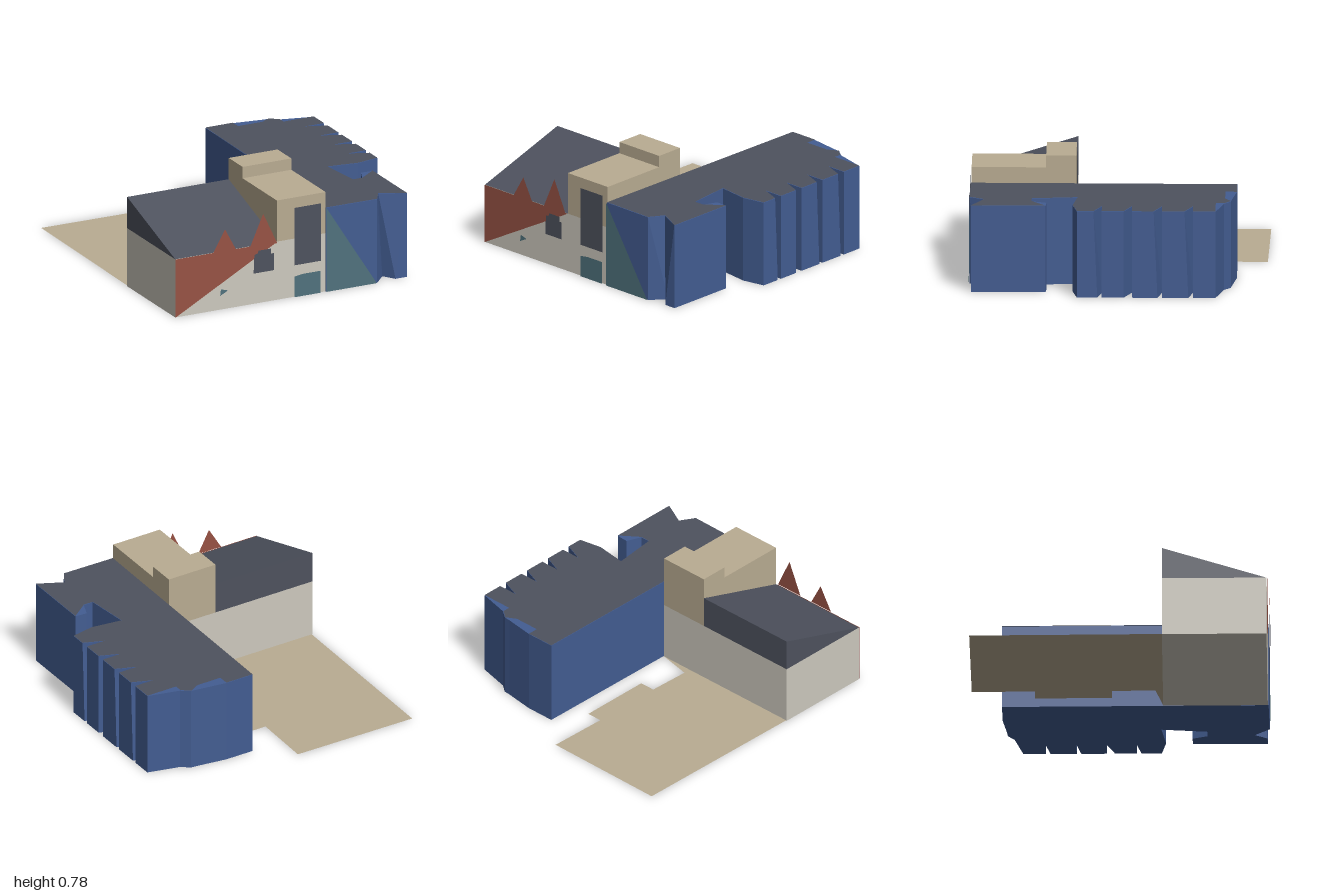
import * as THREE from 'three';

const paint = (name, color, side = THREE.FrontSide) => {
  const m = new THREE.MeshStandardMaterial({ color, side });
  m.name = name;
  return m;
};

export function createModel() {
  const model = new THREE.Group();
  model.name = 'buildingCluster';
  const D = THREE.DoubleSide;
  const tan = paint('tan', 0xb9ac92, D);
  const white = paint('offWhite', 0xcdc9be);
  const gray = paint('slateGray', 0x4e525e, D);
  const blue = paint('blue', 0x435d92, D);
  const red = paint('brickRed', 0x985244, D);
  const teal = paint('teal', 0x50727d, D);

  const add = (name, geometry, material) => {
    const mesh = new THREE.Mesh(geometry, material);
    mesh.name = name;
    model.add(mesh);
    return mesh;
  };
  const box = (name, mat, x0, x1, y0, y1, z0, z1) =>
    add(name, new THREE.BoxGeometry(x1 - x0, y1 - y0, z1 - z0), mat)
      .position.set((x0 + x1) / 2, (y0 + y1) / 2, (z0 + z1) / 2);
  const shape = (pts) => new THREE.Shape(pts.map(([x, y]) => new THREE.Vector2(x, y)));
  // Flat panel facing the front
  const panel = (name, mat, z, pts) =>
    add(name, new THREE.ShapeGeometry(shape(pts)).translate(0, 0, z), mat);
  // Flat sheet facing up, given as [x, z] points
  const sheet = (name, mat, y, pts) =>
    add(name, new THREE.ShapeGeometry(shape(pts.map(([x, z]) => [x, -z])))
      .rotateX(-Math.PI / 2).translate(0, y, 0), mat);

  // Ground terrace behind the house
  sheet('terrace', tan, 0.002, [
    [-0.92, -1], [-0.03, -0.99], [-0.04, -0.57], [0.07, -0.57], [0.07, -0.06],
    [-0.04, -0.06], [-0.05, 0.23], [0.185, 0.28], [-0.935, 0.28],
  ]);

  // House walls, shed roof and stepped tower
  box('houseWalls', white, -0.94, 0.185, 0, 0.41, 0.28, 0.975);
  const wedge = new THREE.ExtrudeGeometry(
    shape([[-0.975, 0.41], [-0.28, 0.41], [-0.28, 0.63]]), { depth: 0.76, bevelEnabled: false });
  add('houseRoof', wedge.rotateY(Math.PI / 2).translate(-0.94, 0, 0), gray);
  box('towerFront', tan, -0.18, 0.185, 0.41, 0.7, 0.48, 0.975);
  box('towerBack', tan, -0.18, 0.185, 0.41, 0.78, 0.28, 0.48);

  // Painted front and small gables
  panel('redFacade', red, 0.98, [[-0.94, 0], [-0.18, 0.41], [-0.94, 0.41]]);
  panel('gableLeft', red, 0.99, [[-0.67, 0.405], [-0.49, 0.405], [-0.575, 0.565]]);
  panel('gableRight', red, 0.99, [[-0.39, 0.405], [-0.185, 0.405], [-0.29, 0.63]]);

  // Windows and door
  panel('tallWindow', gray, 0.985, [[-0.055, 0.225], [0.145, 0.225], [0.145, 0.63], [-0.055, 0.63]]);
  panel('smallWindow', gray, 0.998, [
    [-0.366, 0.222], [-0.215, 0.222], [-0.215, 0.343], [-0.235, 0.343],
    [-0.235, 0.378], [-0.33, 0.378], [-0.336, 0.358], [-0.36, 0.353],
  ]);
  panel('door', teal, 0.985, [[-0.055, 0], [0.143, 0], [0.143, 0.155], [0.01, 0.155], [-0.055, 0.145]]);
  panel('tealChip', teal, 0.985, [[-0.61, 0.1], [-0.55, 0.13], [-0.603, 0.146]]);

  // Blue wing: rings of [x, z] at the top, optional [x, z] at the bottom
  const H = 0.59;
  const notches = [[-0.505, 0.03], [-0.3, 0.03], [-0.1, 0.055], [0.1, 0.03]].flatMap(
    ([z, low]) => [[0.94, z], [0.8, z], [0.94, z + 0.055, 0.94, z + low]]);
  const southSide = [
    [0.94, 0.265], [0.78, 0.295], [0.565, 0.265], [0.6, 0.57], [0.67, 0.57],
  ];
  const frontEnd = [
    [0.795, 0.475], [0.795, 0.97], [0.625, 0.885, 0.655, 0.885], [0.565, 0.985], [0.185, 0.98],
  ];
  // Make the outer front corner lean inward at the bottom
  frontEnd.splice(2, 0, [0.79, 0.968, 0.71, 0.97]);
  const ring = [
    [0.2, -0.79], [0.405, -0.79], [0.61, -0.76], [0.66, -0.755], [0.72, -0.71], [0.94, -0.655],
    ...notches, ...southSide, [0.71, 0.47], ...frontEnd,
  ];
  const top = ring.map(([x, z]) => [x, z]);
  const bottom = ring.map(([x, z, bx = x, bz = z]) => [bx, bz]);
  const pos = [];
  ring.forEach((_, i) => {
    const j = (i + 1) % ring.length;
    const b = (k) => [bottom[k][0], 0, bottom[k][1]];
    const t = (k) => [top[k][0], H, top[k][1]];
    pos.push(...b(i), ...t(i), ...t(j), ...b(i), ...t(j), ...b(j));
  });
  const walls = new THREE.BufferGeometry();
  walls.setAttribute('position', new THREE.Float32BufferAttribute(pos, 3));
  walls.computeVertexNormals();
  add('wingWalls', walls, blue);
  sheet('wingTop', blue, H, top);
  sheet('wingFloor', blue, 0, bottom);

  // Gray roof sheet, leaving the blue corners bare
  sheet('wingRoof', gray, H + 0.003, [
    [0.2, -0.79], [0.405, -0.79], [0.405, -0.715], [0.585, -0.715], [0.655, -0.755],
    [0.715, -0.71], [0.715, -0.655], [0.94, -0.655], ...notches, ...southSide, ...frontEnd,
  ]);

  // Teal triangle on the wing front
  panel('tealFacade', teal, 0.989, [[0.185, 0], [0.56, 0], [0.185, H]]);

  return model;
}
